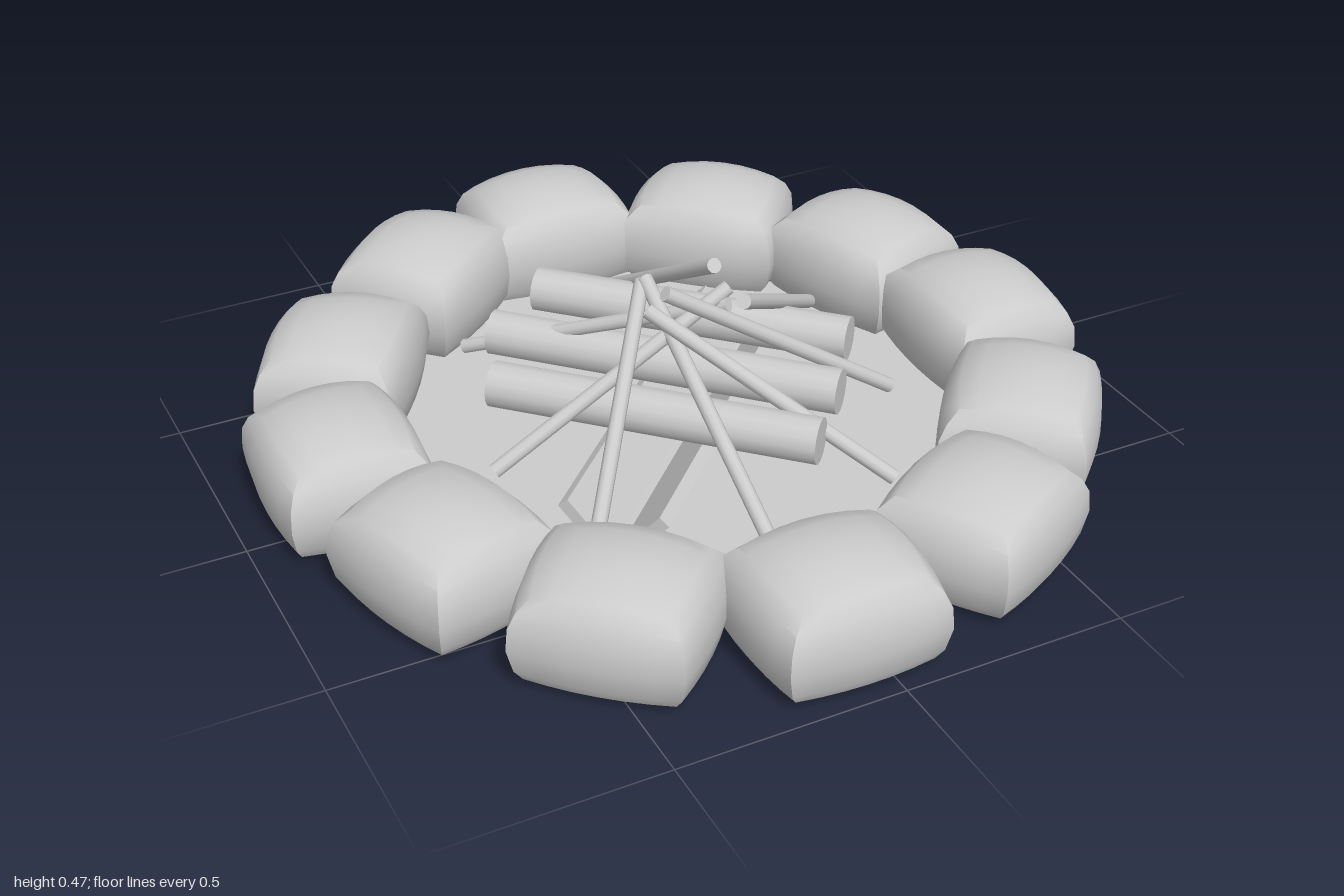
import * as THREE from 'three';
import { toCreasedNormals } from 'three/addons/utils/BufferGeometryUtils.js';

const material = new THREE.MeshStandardMaterial({ color: 0xcccccc });
const thinMaterial = new THREE.MeshStandardMaterial({ color: 0xcccccc, side: THREE.DoubleSide });

// Stone: a subdivided box, swelling at mid height and domed on top
function stoneGeometry() {
  const geo = new THREE.BoxGeometry(2, 2, 2, 6, 5, 6);
  const heights = [0.02, 0.045, 0.1, 0.15, 0.195, 0.222];
  const scales = [0.86, 0.94, 1, 0.98, 0.9, 0.76];
  const p = geo.attributes.position;
  for (let i = 0; i < p.count; i++) {
    const x = p.getX(i), z = p.getZ(i);
    const level = Math.round((p.getY(i) + 1) * 2.5);
    const s = scales[level];
    const dome = level === 5 ? 0.026 * (1 - x * x) * (1 - z * z) + 0.006 * (2 - x * x - z * z) * 0.5 : 0;
    const corner = level > 3 ? -0.012 * x * x * z * z : 0;
    p.setXYZ(i,
      0.175 * x * s * (1 - 0.09 * z * z),
      heights[level] + dome + corner,
      0.2 * z * s * (1 - 0.07 * x * x - 0.04 * x));
  }
  return toCreasedNormals(geo, 0.6);
}

// Round bar between two points
function bar(name, a, b, radius, sides) {
  const from = new THREE.Vector3(...a), to = new THREE.Vector3(...b);
  const dir = to.clone().sub(from);
  const mesh = new THREE.Mesh(new THREE.CylinderGeometry(radius, radius, dir.length(), sides), material);
  mesh.position.copy(from).add(to).multiplyScalar(0.5);
  mesh.quaternion.setFromUnitVectors(new THREE.Vector3(0, 1, 0), dir.normalize());
  mesh.name = name;
  return mesh;
}

export function createModel() {
  const group = new THREE.Group();

  // Ring of stones: x, z, outward direction in degrees
  const ring = new THREE.Group();
  ring.name = 'stoneRing';
  const stones = [
    [0.045, -0.825, -89], [0.43, -0.66, -48], [0.69, -0.345, -18], [0.77, 0.04, 1],
    [0.63, 0.435, 40], [0.34, 0.72, 62], [-0.065, 0.82, 91], [-0.45, 0.66, 132],
    [-0.685, 0.335, 162], [-0.77, -0.055, 181], [-0.63, -0.425, 213], [-0.315, -0.72, 230],
  ];
  const stoneGeo = stoneGeometry();
  for (const [x, z, angle] of stones) {
    const stone = new THREE.Mesh(stoneGeo, material);
    stone.name = 'stone';
    stone.position.set(x, 0, z);
    stone.rotation.y = -THREE.MathUtils.degToRad(angle);
    ring.add(stone);
  }
  group.add(ring);

  // Flat bed inside the ring
  const bed = new THREE.Mesh(new THREE.CircleGeometry(1, 24), thinMaterial);
  bed.name = 'fireBed';
  bed.rotation.x = -Math.PI / 2;
  bed.scale.set(0.69, 0.73, 1);
  bed.position.y = 0.018;
  group.add(bed);

  // Two planks leaning apart in a V under the logs
  const planks = new THREE.Group();
  planks.name = 'planks';
  planks.position.set(0.01, 0.063, 0.03);
  planks.rotation.y = Math.PI / 4;
  for (const side of [-1, 1]) {
    const plank = new THREE.Mesh(new THREE.BoxGeometry(0.94, 0.14, 0.028), material);
    plank.name = 'plank';
    plank.position.z = side * 0.065;
    plank.rotation.x = side * 0.72;
    planks.add(plank);
  }
  group.add(planks);

  // Three logs lying across the planks
  const logs = [
    [-0.13, -0.46, 0.41, 0.065], [-0.3, -0.325, 0.28, 0.25], [-0.385, -0.12, 0.145, 0.4],
  ];
  for (const [x1, z1, x2, z2] of logs) {
    group.add(bar('log', [x1, 0.175, z1], [x2, 0.175, z2], 0.052, 14));
  }

  // Sticks leaning together into a cone: foot, tip
  const sticks = [
    [[0.06, 0.13, -0.47], [0.06, 0.455, 0.07]],
    [[-0.045, 0.07, 0.52], [-0.055, 0.4, -0.035]],
    [[-0.47, 0.09, 0.08], [0.09, 0.4, 0.08]],
    [[0.48, 0.07, 0.135], [-0.08, 0.445, 0.115]],
    [[-0.4, 0.07, 0.43], [-0.06, 0.39, -0.04]],
    [[0.29, 0.08, 0.47], [-0.1, 0.385, 0.07]],
    [[0.485, 0.09, -0.25], [0.09, 0.4, 0.15]],
    [[-0.35, 0.12, -0.38], [0.08, 0.37, 0.1]],
  ];
  for (const [foot, tip] of sticks) group.add(bar('stick', foot, tip, 0.017, 10));

  return group;
}
